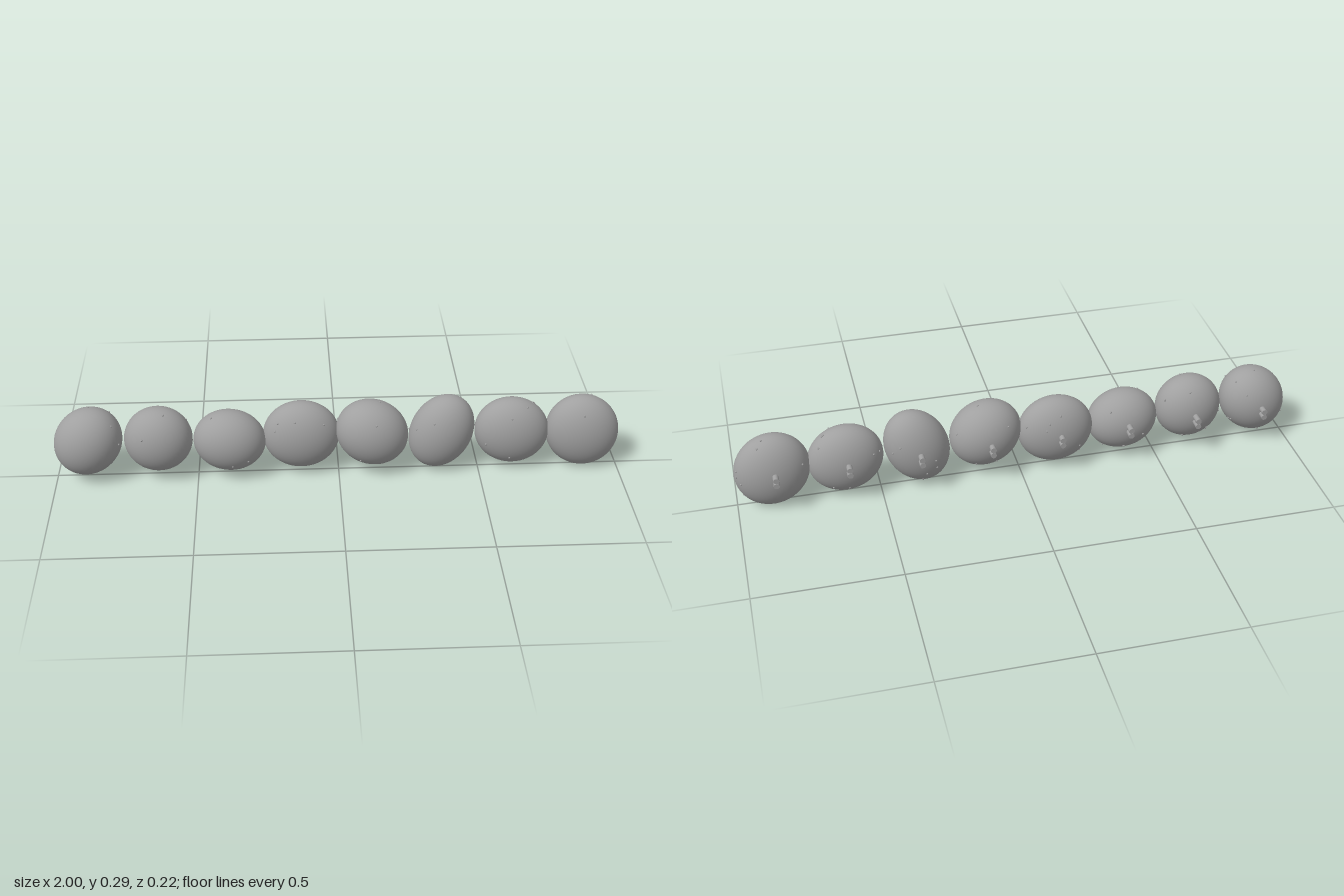
import * as THREE from 'three';

// One bead per row: centre x, y, z, half width, half height, half depth,
// and the sideways shift of its topmost point (which sets the tilt).
const BEADS = [
  [-0.88, 0.16, 0.011, 0.12, 0.126, 0.099, 0.013],
  [-0.634, 0.164, 0.013, 0.12, 0.121, 0.091, 0],
  [-0.385, 0.15, 0.01, 0.127, 0.113, 0.094, -0.005],
  [-0.132, 0.157, -0.007, 0.135, 0.128, 0.083, 0],
  [0.118, 0.168, 0.01, 0.128, 0.123, 0.098, -0.012],
  [0.365, 0.16, 0, 0.116, 0.14, 0.085, 0.021],
  [0.616, 0.154, -0.006, 0.132, 0.127, 0.081, -0.005],
  [0.869, 0.148, -0.005, 0.131, 0.138, 0.082, -0.007],
];

// Specks on the front faces: bead index, x, y
const FRONT_SPECKS = [
  [0, -0.79, 0.238], [0, -0.77, 0.165], [1, -0.685, 0.203], [1, -0.61, 0.275],
  [2, -0.445, 0.249], [2, -0.32, 0.1], [2, -0.375, 0.083], [3, -0.215, 0.227],
  [3, -0.225, 0.2], [3, -0.155, 0.238], [3, -0.053, 0.222], [4, 0.075, 0.088],
  [4, 0.128, 0.238], [5, 0.272, 0.19], [5, 0.332, 0.227], [6, 0.605, 0.233],
  [6, 0.52, 0.125], [6, 0.605, 0.072], [6, 0.663, 0.26], [7, 0.861, 0.238],
];

function seeded(seed) {
  let s = seed;
  return () => {
    s = (s * 16807) % 2147483647;
    return s / 2147483647;
  };
}

// Principal radii and tilt of an ellipse from its extents and top shift
function ellipse([, , , hw, hh, , shift]) {
  const sum = hw * hw + hh * hh;
  const dx = hh * hh - hw * hw;
  const dy = 2 * shift * hh;
  const diff = Math.hypot(dx, dy);
  return {
    a: Math.sqrt((sum - diff) / 2),
    b: Math.sqrt((sum + diff) / 2),
    tilt: -Math.atan2(dy, dx) / 2,
  };
}

export function createModel() {
  const model = new THREE.Group();
  model.name = 'beadRow';
  const grey = new THREE.MeshStandardMaterial({ color: 0xa0a0a0 });
  grey.name = 'grey';
  const rand = seeded(71);

  const ball = new THREE.SphereGeometry(1, 48, 32);
  const speckGeo = new THREE.SphereGeometry(0.0038, 8, 6);
  const pegGeo = new THREE.CylinderGeometry(0.0105, 0.0105, 0.045, 12).rotateX(Math.PI / 2);

  BEADS.forEach((row, i) => {
    const [x, y, z, , , depth] = row;
    const { a, b, tilt } = ellipse(row);
    const unit = new THREE.Group();
    unit.name = 'beadUnit' + (i + 1);
    model.add(unit);

    // Flattened, tilted bead
    const bead = new THREE.Mesh(ball, grey);
    bead.name = 'bead';
    bead.position.set(x, y, z);
    bead.scale.set(a, b, depth);
    bead.rotation.z = tilt;
    unit.add(bead);
    bead.updateMatrix();

    // Pair of pegs at the back
    for (const side of [-1, 1]) {
      const peg = new THREE.Mesh(pegGeo, grey);
      peg.name = 'backPeg';
      peg.position.set(-0.885 + i * 0.2497, 0.157 + side * 0.0105, -0.0895);
      unit.add(peg);
    }

    // Specks resting on the surface: given in front, scattered on rim and back
    const addSpeck = (dir) => {
      const speck = new THREE.Mesh(speckGeo, grey);
      speck.name = 'speck';
      speck.position.copy(dir).applyMatrix4(bead.matrix);
      unit.add(speck);
    };
    const inverse = bead.matrix.clone().invert();
    for (const [n, sx, sy] of FRONT_SPECKS) {
      if (n !== i) continue;
      const p = new THREE.Vector3(sx, sy, z).applyMatrix4(inverse);
      p.z = Math.sqrt(Math.max(0, 1 - p.x * p.x - p.y * p.y));
      addSpeck(p.normalize());
    }
    for (let k = 0; k < 7; k++) {
      const angle = rand() * Math.PI * 2;
      const back = -0.9 * rand();
      const r = Math.sqrt(1 - back * back);
      addSpeck(new THREE.Vector3(r * Math.cos(angle), r * Math.sin(angle), back));
    }
  });

  return model;
}
